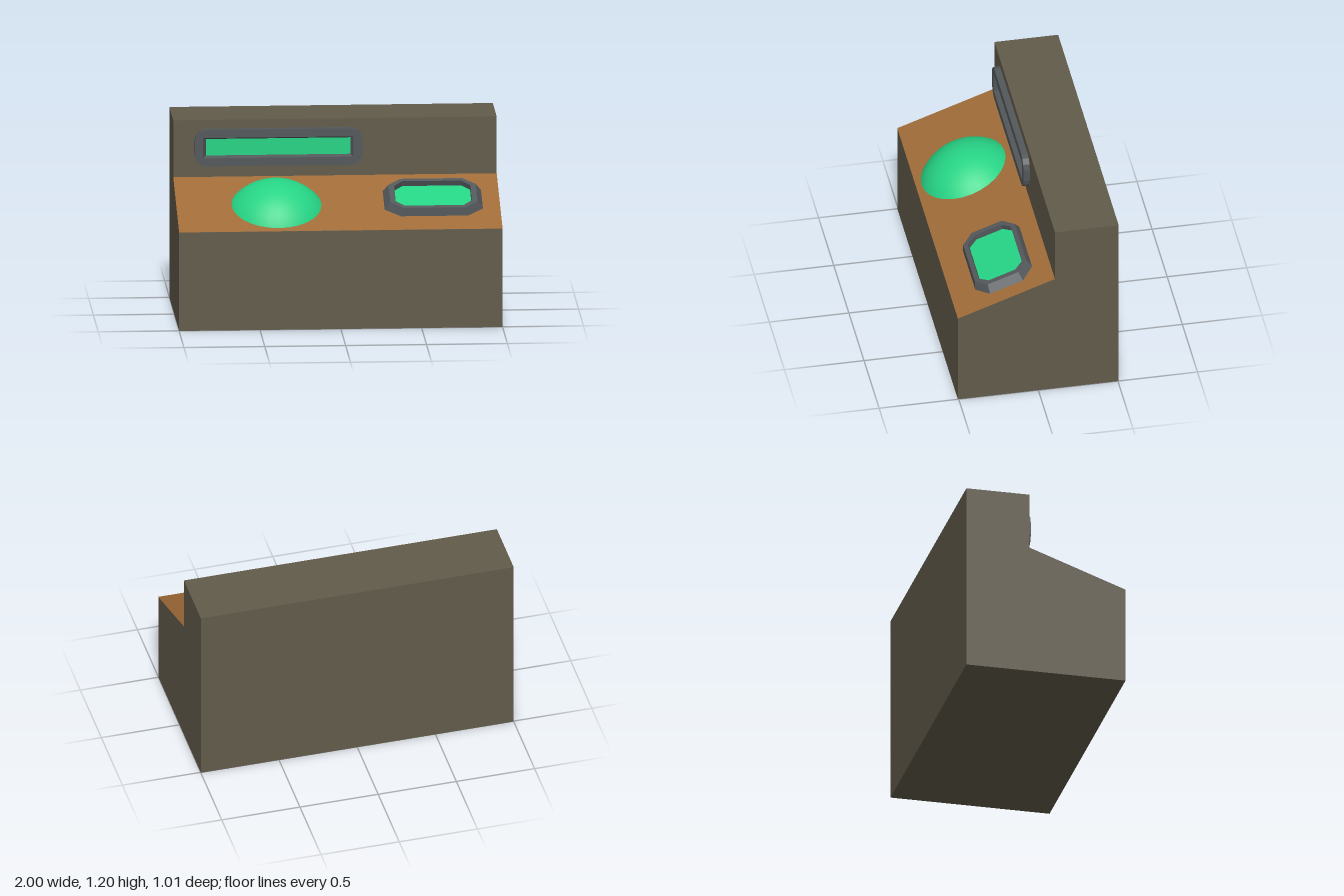
import * as THREE from 'three';

const paint = (name, color) => {
  const m = new THREE.MeshStandardMaterial({ color });
  m.name = name;
  return m;
};

// Closed rectangle in the xz plane at height y, corners cut by cx, cz in n segments
function ring(hx, hz, cx, cz, y, n) {
  const pts = [];
  for (let q = 0; q < 4; q++) {
    const sx = q === 0 || q === 3 ? 1 : -1;
    const sz = q < 2 ? 1 : -1;
    for (let i = 0; i <= n; i++) {
      const a = (q + i / n) * Math.PI / 2;
      pts.push([sx * (hx - cx) + cx * Math.cos(a), y, sz * (hz - cz) + cz * Math.sin(a)]);
    }
  }
  return pts;
}

// Faceted skin through successive rings
function loft(rings) {
  const pos = [];
  for (let r = 0; r + 1 < rings.length; r++) {
    const A = rings[r], B = rings[r + 1];
    for (let i = 0; i < A.length; i++) {
      const j = (i + 1) % A.length;
      pos.push(...A[i], ...B[i], ...B[j], ...A[i], ...B[j], ...A[j]);
    }
  }
  const g = new THREE.BufferGeometry();
  g.setAttribute('position', new THREE.Float32BufferAttribute(pos, 3));
  g.computeVertexNormals();
  return g;
}

export function createModel() {
  const model = new THREE.Group();
  model.name = 'console';
  const olive = paint('olive casing', 0x625b4b);
  const orange = paint('orange panel', 0xa06c38);
  const grey = paint('grey frame', 0x53585b);
  const green = paint('green glow', 0x26d485);

  const add = (parent, name, geometry, material) => {
    const mesh = new THREE.Mesh(geometry, material);
    mesh.name = name;
    parent.add(mesh);
    return mesh;
  };

  // Casing: side profile (z, y) extruded across the width
  const profile = [[0.505, 0], [0.505, 0.62], [-0.105, 0.84], [-0.105, 1.2], [-0.505, 1.2], [-0.505, 0]];
  const shape = new THREE.Shape(profile.map(([z, y]) => new THREE.Vector2(-z, y)));
  const casing = new THREE.ExtrudeGeometry(shape, { depth: 2, bevelEnabled: false });
  casing.translate(0, 0, -1).rotateY(Math.PI / 2);
  add(model, 'casing', casing, olive);

  // Sloping control panel; local y is its normal, local z runs downhill
  const desk = new THREE.Group();
  desk.name = 'controlDesk';
  desk.position.set(0, 0.73, 0.2);
  desk.rotation.x = Math.atan2(0.22, 0.61);
  model.add(desk);
  const panel = new THREE.PlaneGeometry(2, Math.hypot(0.61, 0.22)).rotateX(-Math.PI / 2);
  add(desk, 'slopingPanel', panel, orange).position.y = 0.0015;

  // Dome: shallow cap of a larger sphere
  const R = 0.356, rim = 0.279;
  const cap = new THREE.SphereGeometry(R, 28, 10, 0, Math.PI * 2, 0, Math.asin(rim / R));
  add(desk, 'dome', cap, green).position.set(-0.38, -Math.sqrt(R * R - rim * rim), 0.01);

  // Framed screens: tapered or straight outer wall, flat lip, recessed glass
  const screen = (parent, name, rings, n) => {
    const group = new THREE.Group();
    group.name = name;
    const loops = rings.map((r) => ring(...r, n));
    add(group, name + 'Frame', loft(loops), grey);
    const last = rings[rings.length - 1];
    add(group, name + 'Glass', loft([loops[loops.length - 1], ring(0, 0, 0, 0, last[4], n)]), green);
    parent.add(group);
    return group;
  };

  screen(desk, 'deskScreen', [
    [0.305, 0.19, 0.096, 0.08, 0],
    [0.27, 0.172, 0.08, 0.07, 0.05],
    [0.235, 0.143, 0.053, 0.055, 0.05],
    [0.235, 0.143, 0.053, 0.055, 0.015],
  ], 1).position.set(0.588, 0, -0.023);

  const upper = screen(model, 'wallScreen', [
    [0.52, 0.115, 0.075, 0.075, 0],
    [0.52, 0.115, 0.075, 0.075, 0.04],
    [0.465, 0.064, 0, 0, 0.04],
    [0.447, 0.052, 0, 0, 0.01],
  ], 3);
  upper.position.set(-0.352, 1.03, -0.105);
  upper.rotation.x = Math.PI / 2;

  return model;
}
